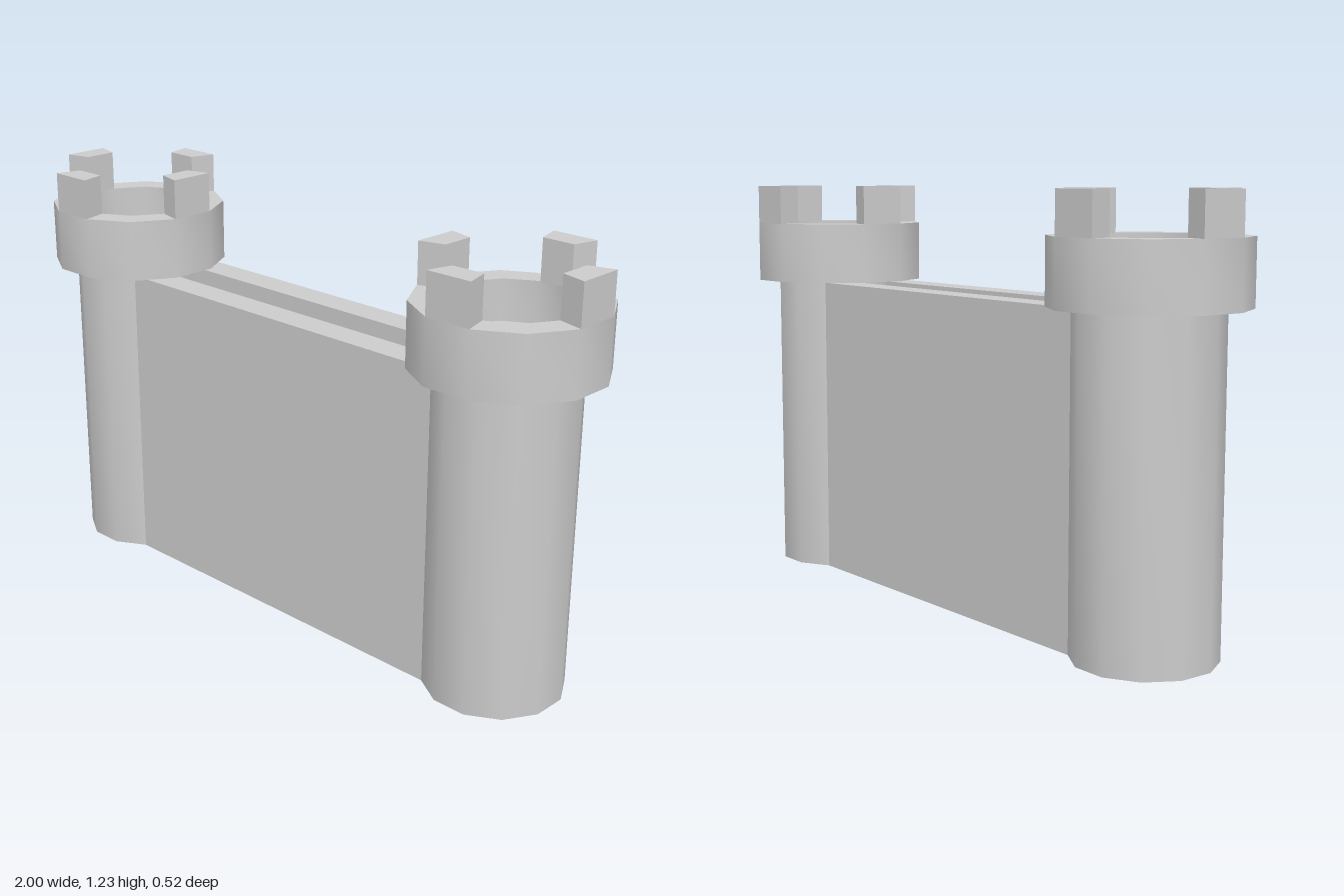
import * as THREE from 'three';
import { toCreasedNormals } from 'three/addons/utils/BufferGeometryUtils.js';

const SIDES = 12;
const FACE = Math.PI / SIDES; // half the angle of one side
const TOWER_X = 0.741;
const HEAD_Y = 0.929, RIM_Y = 1.113, TOP_Y = 1.232, FLOOR_Y = 0.995;
const HEAD_IN = 0.184, HEAD_OUT = 0.259, SHAFT = 0.194; // distances to flat sides

const material = new THREE.MeshStandardMaterial({ color: 0xcccccc });

function mesh(name, geometry) {
  const m = new THREE.Mesh(geometry, material);
  m.name = name;
  return m;
}

// Twelve-sided turned solid with flat sides facing the axes; radii measured to the flats
function turned(profile) {
  const points = profile.map(([r, y]) => new THREE.Vector2(r / Math.cos(FACE), y));
  return toCreasedNormals(new THREE.LatheGeometry(points, SIDES, FACE), 0.7);
}

function polygon(points) {
  return new THREE.Shape(points.map(([x, y]) => new THREE.Vector2(x, y)));
}

function createTower(name, x) {
  const tower = new THREE.Group();
  tower.name = name;
  tower.position.x = x;

  tower.add(mesh('shaft', turned([[0, 0], [SHAFT, 0], [SHAFT, HEAD_Y], [0, HEAD_Y]])));

  // Wider head with a sunken floor
  tower.add(mesh('head', turned([
    [0, HEAD_Y], [HEAD_OUT, HEAD_Y], [HEAD_OUT, RIM_Y],
    [HEAD_IN, RIM_Y], [HEAD_IN, FLOOR_Y], [0, FLOOR_Y],
  ])));

  // Four merlons, each filling one side of the rim
  const a = HEAD_IN * Math.tan(FACE), b = HEAD_OUT * Math.tan(FACE);
  const merlon = new THREE.ExtrudeGeometry(
    polygon([[-a, HEAD_IN], [a, HEAD_IN], [b, HEAD_OUT], [-b, HEAD_OUT]]),
    { depth: TOP_Y - RIM_Y, bevelEnabled: false });
  merlon.rotateX(-Math.PI / 2);
  merlon.translate(0, RIM_Y, 0);
  for (let i = 0; i < 4; i++) {
    const m = mesh('merlon', merlon);
    m.rotation.y = i * Math.PI / 2;
    tower.add(m);
  }
  return tower;
}

// Wall with a sunken walkway between two parapets
function createWall() {
  const half = 0.142, walk = 0.052, top = 0.926, floor = 0.867, length = 1.2;
  const geometry = new THREE.ExtrudeGeometry(polygon([
    [-half, 0], [half, 0], [half, top], [walk, top],
    [walk, floor], [-walk, floor], [-walk, top], [-half, top],
  ]), { depth: length, bevelEnabled: false });
  geometry.translate(0, 0, -length / 2);
  geometry.rotateY(Math.PI / 2);
  return mesh('wall', geometry);
}

export function createModel() {
  const model = new THREE.Group();
  model.name = 'castleWall';
  model.add(createWall());
  model.add(createTower('leftTower', TOWER_X));
  model.add(createTower('rightTower', -TOWER_X));
  return model;
}
